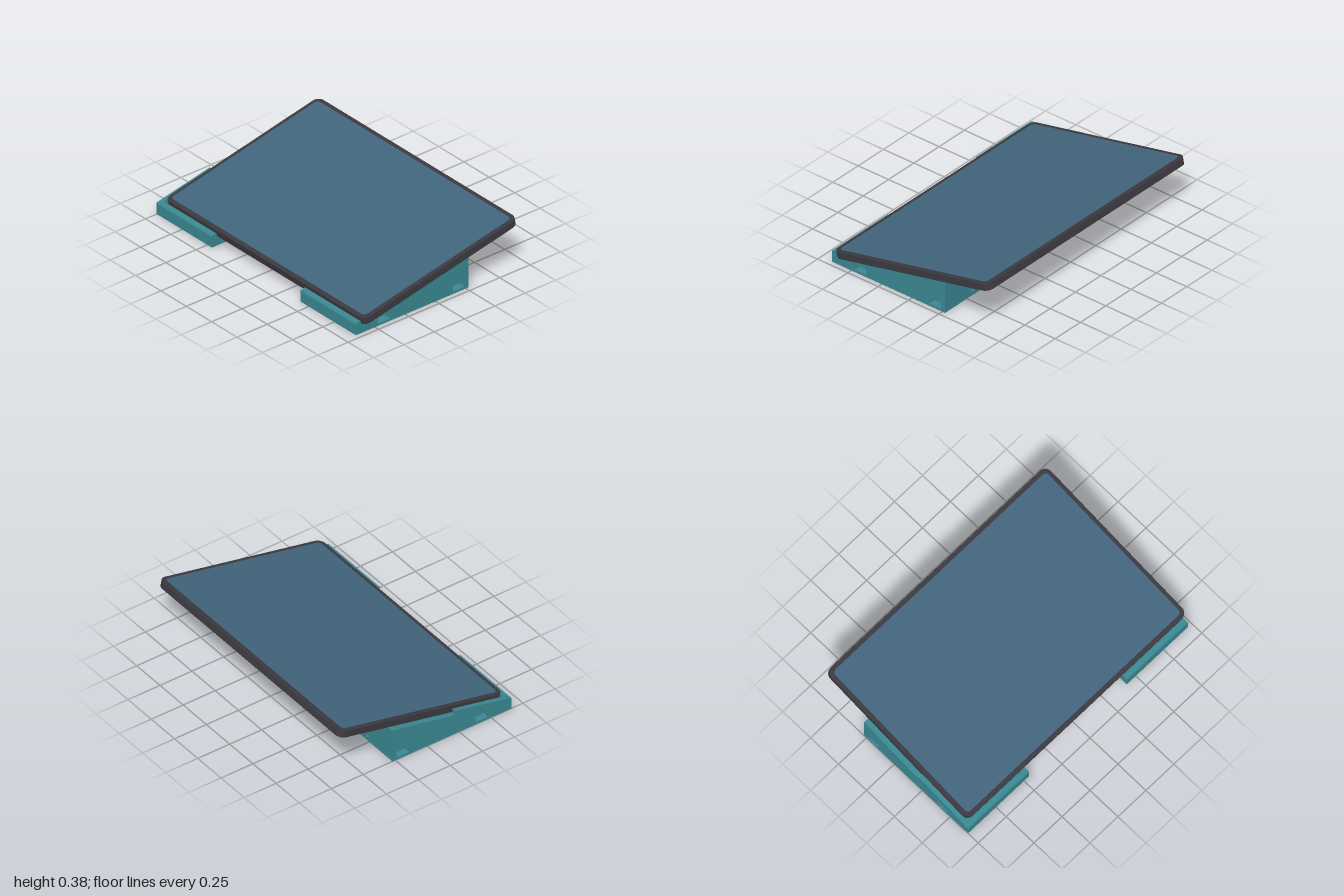
import * as THREE from 'three';

const mat = (name, color) => Object.assign(new THREE.MeshStandardMaterial({ color }), { name });
const TILT = THREE.MathUtils.degToRad(11.95);
const slope = z => 0.0615 + (0.613 - z) * Math.tan(TILT); // height of the resting surface
const LIP = 0.034;                                        // lip height above it
const BAR_Z = [0.426, -0.19];
const BAR_Y = 0.038;

// Rectangle with rounded corners, centred on (cx, cy)
function roundRect(w, h, r, cx = 0, cy = 0, Kind = THREE.Shape) {
  const s = new Kind(), x = w / 2 - r, y = h / 2 - r;
  s.absarc(cx + x, cy + y, r, 0, Math.PI / 2);
  s.absarc(cx - x, cy + y, r, Math.PI / 2, Math.PI);
  s.absarc(cx - x, cy - y, r, Math.PI, Math.PI * 1.5);
  s.absarc(cx + x, cy - y, r, Math.PI * 1.5, Math.PI * 2);
  s.closePath();
  return s;
}

// Side profile given as (z, y), extruded from x0 to x1
function extrudeAcross(shape, x0, x1) {
  const g = new THREE.ExtrudeGeometry(shape, { depth: x1 - x0, bevelEnabled: false });
  return g.rotateY(-Math.PI / 2).translate(x1, 0, 0);
}

// Outline seen from above, extruded upwards
function slab(shape, depth, bevel) {
  const g = new THREE.ExtrudeGeometry(shape, {
    depth: depth - 2 * bevel, bevelEnabled: bevel > 0, bevelSize: bevel,
    bevelThickness: bevel, bevelOffset: -bevel, bevelSegments: 2, curveSegments: 8,
  });
  return g.rotateX(-Math.PI / 2).translate(0, bevel, 0);
}

export function createModel() {
  const teal = mat('teal plastic', 0x3a8791);
  const wood = mat('wood', 0xd9964a);
  const dark = mat('dark casing', 0x3b393f);
  const blue = mat('blue screen', 0x41647c);
  const root = new THREE.Group();
  root.name = 'tabletStand';
  const add = (parent, name, geometry, material) => {
    const m = new THREE.Mesh(geometry, material);
    m.name = name;
    parent.add(m);
    return m;
  };

  // Wedge-shaped support with a front lip, two bar slots and a screw hole at the back
  function support(name, x0, x1) {
    const g = new THREE.Group();
    g.name = name;
    const back = -0.252, end = -0.272;
    const profile = new THREE.Shape([
      [back, 0], [0.657, 0], [0.66, 0.003], [0.66, 0.08], [0.656, 0.087], [0.65, slope(0.65) + LIP],
      [0.626, slope(0.626) + LIP], [0.62, slope(0.62) + LIP - 0.003],
      [0.613, slope(0.613)], [back, slope(back)],
    ].map(p => new THREE.Vector2(...p)));
    for (const z of BAR_Z) profile.holes.push(roundRect(0.097, 0.043, 0.003, z, BAR_Y, THREE.Path));
    add(g, 'wedge', extrudeAcross(profile, x0, x1), teal);

    const plate = new THREE.Shape();
    const h = slope(back);
    plate.moveTo(x0, 0).lineTo(x1, 0).lineTo(x1, h).lineTo(x0, h);
    const hole = new THREE.Path();
    hole.absarc((x0 + x1) / 2, BAR_Y, 0.011, 0, Math.PI * 2);
    plate.holes.push(hole);
    const plateGeo = new THREE.ExtrudeGeometry(plate, { depth: back - end, bevelEnabled: false });
    add(g, 'backPlate', plateGeo.translate(0, 0, end), teal);
    root.add(g);
    return g;
  }
  const right = support('rightSupport', -1, -0.455);
  support('leftSupport', 0.42, 0.965);

  // Low side wall on the right support
  const wall = new THREE.Shape([
    [0.22, slope(0.22) - 0.02], [0.64, slope(0.64) - 0.02],
    [0.64, slope(0.64) + LIP], [0.22, slope(0.22) + LIP],
  ].map(p => new THREE.Vector2(...p)));
  add(right, 'sideWall', extrudeAcross(wall, -1, -0.968), teal);

  // Bars joining the supports, ending inside the slots
  for (const z of BAR_Z) {
    const bar = add(root, 'crossBar', new THREE.BoxGeometry(1.66, 0.039, 0.09), wood);
    bar.position.set(-0.0175, BAR_Y, z);
  }

  // Tilted tablet
  const tablet = new THREE.Group();
  tablet.name = 'tablet';
  tablet.position.set(0.0175, 0.199, -0.023);
  tablet.rotation.x = TILT;
  add(tablet, 'casing', slab(roundRect(1.965, 1.298, 0.05), 0.0535, 0.004), dark);
  const screen = add(tablet, 'screen', slab(roundRect(1.91, 1.238, 0.028), 0.004, 0), blue);
  screen.position.y = 0.051;
  root.add(tablet);

  return root;
}
